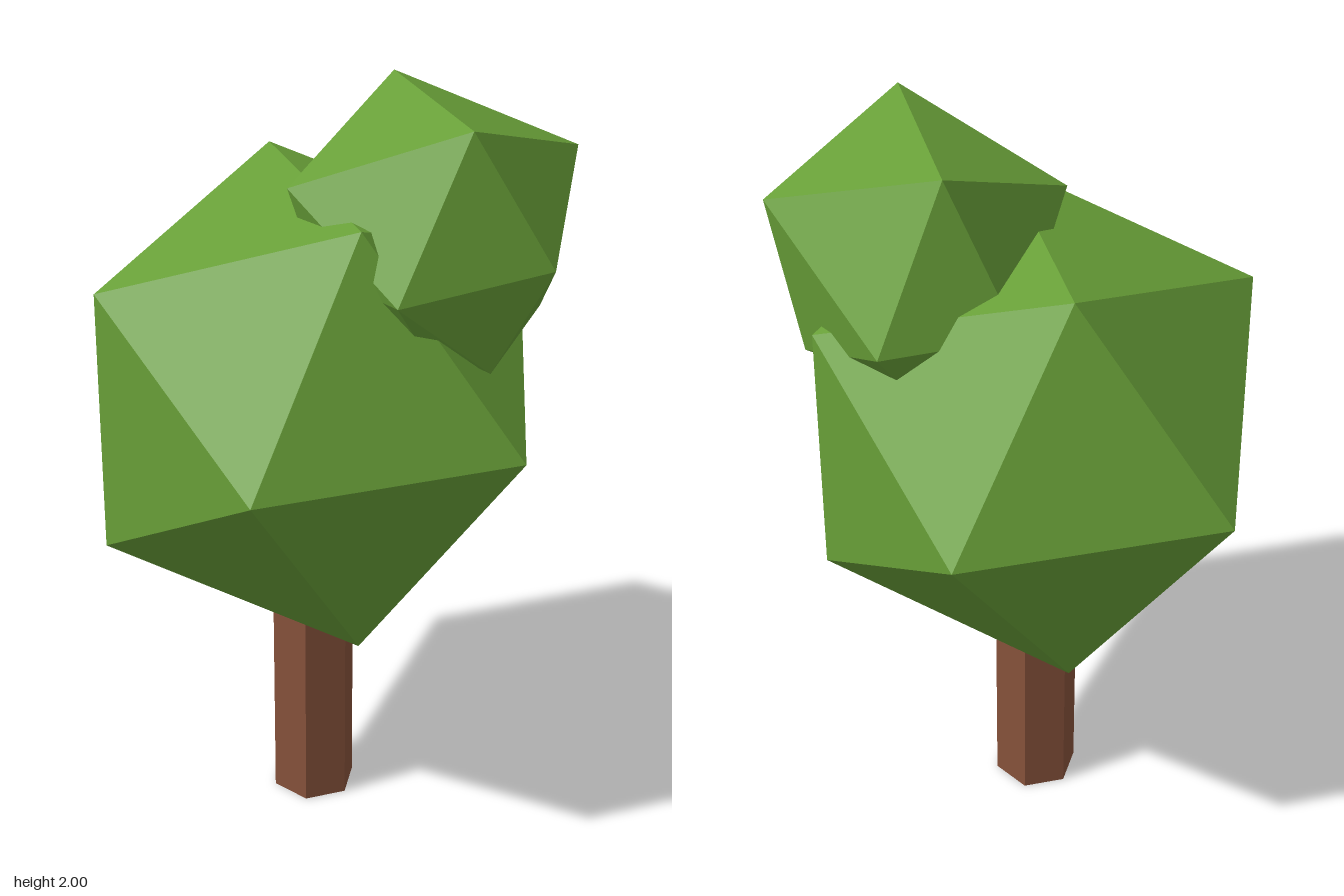
import * as THREE from 'three';
import { ConvexGeometry } from 'three/addons/geometries/ConvexGeometry.js';

export function createModel() {
  const tree = new THREE.Group();
  tree.name = 'tree';

  const leafGreen = new THREE.MeshStandardMaterial({ color: 0x689f38 });
  leafGreen.name = 'leafGreen';
  leafGreen.flatShading = true;
  const barkBrown = new THREE.MeshStandardMaterial({ color: 0x87523b });
  barkBrown.name = 'barkBrown';
  barkBrown.flatShading = true;

  const add = (name, geometry, material, x, y, z) => {
    const mesh = new THREE.Mesh(geometry, material);
    mesh.name = name;
    mesh.position.set(x, y, z);
    tree.add(mesh);
  };

  // Six-sided trunk with corners on the x axis, ending inside the crown
  const trunk = new THREE.CylinderGeometry(0.114, 0.114, 0.75, 6).rotateY(Math.PI / 6);
  add('trunk', trunk, barkBrown, -0.04, 0.375, 0);

  // Main crown: icosahedron with its upper and lower ridges along z
  const crown = new THREE.IcosahedronGeometry(0.667, 0).rotateY(Math.PI / 2);
  add('mainCrown', crown, leafGreen, -0.038, 1.2, 0);

  // Irregular smaller clump leaning out of the upper right front
  const corners = [
    [0.22, 2.0, 0.4], [0.22, 2.0, -0.12],       // top ridge
    [0.605, 1.85, 0.16], [-0.145, 1.81, 0.12],  // sides
    [0.41, 1.655, 0.475], [0.01, 1.61, 0.47],   // front
    [0.41, 1.6, -0.23], [0.06, 1.6, -0.21],     // back
    [0.27, 1.39, 0.43], [0.53, 1.42, 0.14],     // underside
    [0.45, 1.385, 0.2], [0.07, 1.515, 0.44],
    [0.36, 1.52, -0.2], [-0.08, 1.6, 0.14],
  ].map((p) => new THREE.Vector3(...p));
  add('smallCrown', new ConvexGeometry(corners), leafGreen, 0, 0, 0);

  return tree;
}
